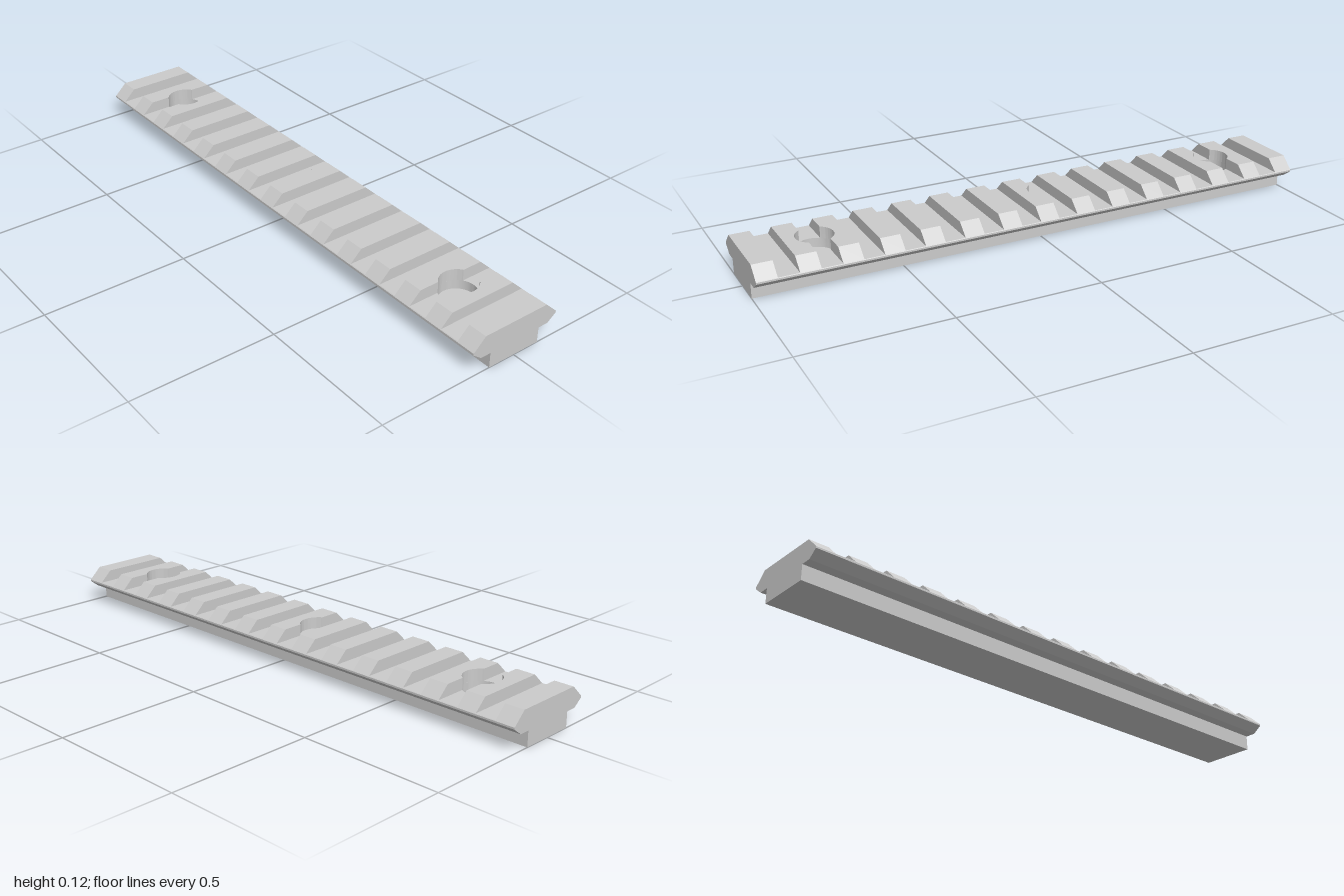
import * as THREE from 'three';
import { toCreasedNormals } from 'three/addons/utils/BufferGeometryUtils.js';

const TEETH = 15, TOOTH = 0.068, PITCH = (2 - TOOTH) / (TEETH - 1);
const HOLE_Z = 5.5 * PITCH, HOLE_R = 0.063;
const EDGE = 0.1; // plan points beyond this x belong to the sloped flanks

// Extrudes a plan shape upward through [y, halfWidth] levels, sloping its flanks.
function stack(shape, levels) {
  const steps = levels.length - 1;
  const geo = new THREE.ExtrudeGeometry(shape, {
    depth: steps, steps, bevelEnabled: false, curveSegments: 24,
  });
  const p = geo.attributes.position;
  for (let i = 0; i < p.count; i++) {
    const [y, half] = levels[Math.round(p.getZ(i))];
    const x = p.getX(i);
    p.setXYZ(i, Math.abs(x) > EDGE ? Math.sign(x) * half : x, y, -p.getY(i));
  }
  return toCreasedNormals(geo, 0.5);
}

function rectangle(halfX, halfY) {
  return new THREE.Shape([
    new THREE.Vector2(-halfX, -halfY), new THREE.Vector2(halfX, -halfY),
    new THREE.Vector2(halfX, halfY), new THREE.Vector2(-halfX, halfY),
  ]);
}

// Tooth outline with a round bite out of its -z edge, where a screw hole cuts in.
function bittenTooth() {
  const h = TOOTH / 2, a = Math.asin((PITCH / 2 - h) / HOLE_R);
  const s = new THREE.Shape();
  s.moveTo(-0.165, -h);
  s.lineTo(0.165, -h);
  s.lineTo(0.165, h);
  s.lineTo(HOLE_R * Math.cos(a), h);
  s.absarc(0, PITCH / 2, HOLE_R, -a, -Math.PI + a, true);
  s.lineTo(-0.165, h);
  return s;
}

export function createModel() {
  const group = new THREE.Group();
  const material = new THREE.MeshStandardMaterial({ color: 0xcccccc });
  const add = (name, geo, y = 0, z = 0) => {
    const mesh = new THREE.Mesh(geo, material);
    mesh.name = name;
    mesh.position.set(0, y, z);
    group.add(mesh);
    return mesh;
  };

  // Stem, whose top is also the floor of the screw holes
  add('stem', new THREE.BoxGeometry(0.196, 0.053, 2), 0.0265);

  // Flange with bevelled flanks and two screw holes
  const plan = rectangle(0.15, 1);
  for (const s of [-1, 1]) {
    const hole = new THREE.Path();
    hole.absarc(0, s * HOLE_Z, HOLE_R, 0, Math.PI * 2, true);
    plan.holes.push(hole);
  }
  add('flange', stack(plan, [[0.053, 0.135], [0.077, 0.167], [0.083, 0.167], [0.085, 0.165]]));

  // Row of cross teeth
  const levels = [[0.085, 0.165], [0.125, 0.123]];
  const plainGeo = stack(rectangle(0.165, TOOTH / 2), levels);
  const bittenGeo = stack(bittenTooth(), levels);
  for (let i = 0; i < TEETH; i++) {
    const z = (i - (TEETH - 1) / 2) * PITCH;
    const offset = Math.sign(z) * HOLE_Z - z;
    const bitten = Math.abs(offset) < PITCH * 0.75;
    const tooth = add('tooth', bitten ? bittenGeo : plainGeo, 0, z);
    if (bitten && offset > 0) tooth.rotation.y = Math.PI;
  }
  return group;
}
